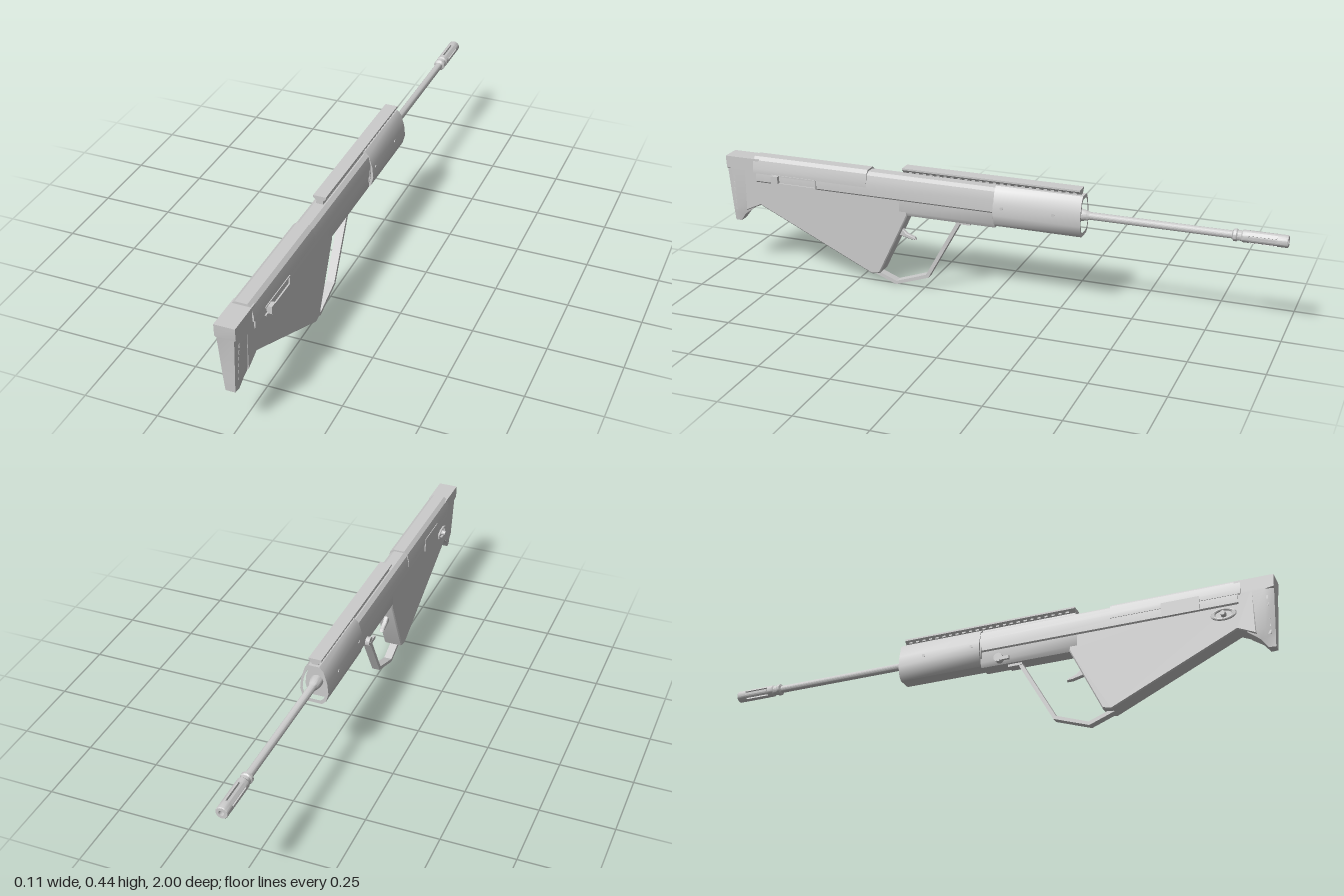
import * as THREE from 'three';
import { toCreasedNormals } from 'three/addons/utils/BufferGeometryUtils.js';

const CX = -0.004; // centre line of the body
const BORE = 0.35; // height of the barrel axis

export function createModel() {
  const model = new THREE.Group();
  const material = new THREE.MeshStandardMaterial({ color: 0xcccccc });

  const add = (name, geometry, x = CX, y = 0, z = 0) => {
    const mesh = new THREE.Mesh(toCreasedNormals(geometry, 0.6), material);
    mesh.name = name;
    mesh.position.set(x, y, z);
    model.add(mesh);
    return mesh;
  };
  const box = (name, w, h, d, x, y, z) => add(name, new THREE.BoxGeometry(w, h, d), x, y, z);
  const shapeOf = (pts) => new THREE.Shape(pts.map(([a, b]) => new THREE.Vector2(a, b)));
  // Mirror a half section of [x, y] points, top to bottom
  const mirror = (half) => [...half, ...half.map(([x, y]) => [-x, y]).reverse()];
  // Cross-section in x/y swept from z0 to z1
  const sweep = (shape, z0, z1) => {
    const g = new THREE.ExtrudeGeometry(shape, { depth: z1 - z0, bevelEnabled: false, curveSegments: 10 });
    return g.translate(0, 0, z0);
  };
  // Side profile of [z, y] points given a width across x
  const slab = (shape, width, bevel = 0) => {
    const g = new THREE.ExtrudeGeometry(shape, {
      depth: width - 2 * bevel, bevelEnabled: bevel > 0, bevelSize: bevel,
      bevelThickness: bevel, bevelOffset: -bevel, bevelSegments: 1,
    });
    return g.translate(0, 0, -width / 2 + bevel).rotateY(-Math.PI / 2);
  };
  // Turned part along z from [radius, z] points
  const turned = (pts) => new THREE.LatheGeometry(pts.map(([r, z]) => new THREE.Vector2(r, z)), 20).rotateX(Math.PI / 2);

  // Stock with the slanted grip edge
  add('stock', slab(shapeOf([
    [0.93, 0.38], [0.93, 0.213], [0.87, 0.24], [0.44, 0.038], [0.41, 0.045],
    [0.3, 0.275], [0.3, 0.38],
  ]), 0.068, 0.004));

  // Butt: horizontal sections [y, back z, front z, back half width, front half width]
  const rows = [
    [0.165, 0.985, 0.962, 0.016, 0.018], [0.195, 0.987, 0.94, 0.018, 0.024],
    [0.225, 0.989, 0.9, 0.02, 0.031], [0.365, 0.997, 0.87, 0.028, 0.034],
    [0.37, 0.998, 0.87, 0.034, 0.034], [0.412, 1, 0.87, 0.034, 0.034],
  ];
  const pos = [];
  const idx = [];
  rows.forEach(([y, zb, zf, wb, wf]) => {
    const zm = Math.max(zf, zb - 0.03);
    pos.push(-wb, y, zb, wb, y, zb, wf, y, zm, wf, y, zf, -wf, y, zf, -wf, y, zm);
  });
  for (let r = 0; r < rows.length - 1; r++) {
    for (let i = 0; i < 6; i++) {
      const a = r * 6 + i, b = r * 6 + (i + 1) % 6;
      idx.push(a, b, b + 6, a, b + 6, a + 6);
    }
  }
  const last = (rows.length - 1) * 6;
  for (let i = 1; i < 5; i++) idx.push(0, i + 1, i, last, last + i, last + i + 1);
  const butt = new THREE.BufferGeometry();
  butt.setAttribute('position', new THREE.Float32BufferAttribute(pos, 3));
  butt.setIndex(idx);
  butt.computeVertexNormals();
  add('butt', butt);
  for (let i = 0; i < 6; i++) {
    const y = 0.215 + i * 0.024;
    box('buttRib', 0.05 + i * 0.003, 0.012, 0.012, CX, y, 0.97);
  }
  add('buttStud', new THREE.CylinderGeometry(0.008, 0.008, 0.03, 12).rotateZ(Math.PI / 2), CX, 0.177, 0.966);

  // Receiver housing, lower frame and raised top cover
  add('receiver', sweep(shapeOf(mirror([
    [0.018, 0.414], [0.031, 0.404], [0.038, 0.375], [0.038, 0.333], [0.034, 0.328],
  ])), -0.02, 0.88));
  add('lowerFrame', sweep(shapeOf(mirror([[0.034, 0.34], [0.034, 0.288], [0.026, 0.273]])), -0.02, 0.33));
  add('topCover', sweep(shapeOf(mirror([
    [0.02, 0.42], [0.033, 0.409], [0.04, 0.378], [0.04, 0.362],
  ])), 0.45, 0.89));

  // Faceted handguard, open at the front
  const guardHalf = [[0.018, 0.421], [0.032, 0.408], [0.045, 0.365], [0.049, 0.325], [0.04, 0.293], [0.026, 0.28]];
  const guardShape = shapeOf(mirror(guardHalf));
  guardShape.holes.push(new THREE.Path(mirror(guardHalf).map(
    ([x, y]) => new THREE.Vector2(x * 0.82, BORE + (y - BORE) * 0.82))));
  add('handguard', sweep(guardShape, -0.325, -0.02));
  const plate = mirror(guardHalf.map(([x, y]) => [x * 0.84, BORE + (y - BORE) * 0.84]));
  add('handguardFill', sweep(shapeOf(plate), -0.3, -0.015));
  for (const s of [-1, 1]) {
    for (const z of [-0.05, -0.23]) {
      add('handguardPin', new THREE.CylinderGeometry(0.006, 0.006, 0.006, 12).rotateZ(Math.PI / 2), CX + s * 0.045, 0.352, z);
    }
  }

  // Sight rail: dovetail bar with teeth below its lips
  add('rail', sweep(shapeOf(mirror([
    [0.022, 0.442], [0.022, 0.436], [0.011, 0.424], [0.014, 0.41],
  ])), -0.315, 0.32));
  for (let i = 0; i < 24; i++) box('railTooth', 0.034, 0.008, 0.012, CX, 0.429, -0.295 + i * 0.0255);

  // Barrel with collar, and slotted muzzle
  add('barrel', turned([
    [0, -0.9], [0.013, -0.9], [0.013, -0.345], [0.017, -0.335], [0.021, -0.315], [0.021, -0.29], [0, -0.29],
  ]), CX, BORE);
  add('muzzleCollar', turned([
    [0.013, -0.875], [0.0205, -0.875], [0.0205, -0.855], [0.017, -0.85], [0.017, -0.838], [0.0205, -0.834], [0.0205, -0.825], [0.013, -0.82],
  ]), CX, BORE);
  add('muzzleCap', turned([
    [0, -0.985], [0.009, -0.985], [0.009, -1], [0.0185, -1], [0.0205, -0.997], [0.0205, -0.965], [0.013, -0.965], [0.013, -0.875],
  ]), CX, BORE);
  for (let i = 0; i < 5; i++) {
    const a = i * Math.PI * 0.4 - Math.PI / 2 - 0.5;
    const arc = new THREE.Shape();
    arc.absarc(0, 0, 0.0205, a, a + 1, false);
    arc.absarc(0, 0, 0.012, a + 1, a, true);
    add('muzzleBar', sweep(arc, -0.966, -0.874), CX, BORE);
  }

  // Bent trigger guard strap
  const outer = [[0.105, 0.277], [0.233, 0.046], [0.357, 0.003], [0.445, 0.037]];
  const inner = [[0.435, 0.047], [0.355, 0.016], [0.242, 0.056], [0.12, 0.277]];
  add('triggerGuard', slab(shapeOf([...outer, ...inner]), 0.028));
  box('guardMount', 0.034, 0.024, 0.05, CX, 0.276, 0.1);

  // Trigger
  add('trigger', slab(shapeOf([
    [0.35, 0.21], [0.335, 0.218], [0.315, 0.198], [0.285, 0.187], [0.28, 0.178], [0.3, 0.178], [0.35, 0.19],
  ]), 0.016, 0.003));

  // Charging handle and slot frame on the left side
  for (const y of [0.333, 0.362]) box('handleSlotRim', 0.008, 0.005, 0.17, 0.035, y, 0.73);
  box('handleSlotRim', 0.008, 0.032, 0.005, 0.035, 0.3475, 0.645);
  box('handleStem', 0.02, 0.018, 0.014, 0.04, 0.35, 0.797);
  box('chargingHandle', 0.014, 0.026, 0.026, 0.048, 0.352, 0.797);

  // Right side: port cover, sling loop and takedown knob
  box('portCover', 0.008, 0.05, 0.13, -0.042, 0.355, 0.69);
  const loop = add('slingLoop', new THREE.TorusGeometry(0.022, 0.005, 8, 20).rotateY(Math.PI / 2), -0.04, 0.3, 0.83);
  loop.scale.set(1, 0.8, 1.6);
  add('slingStud', new THREE.CylinderGeometry(0.008, 0.01, 0.018, 12).rotateZ(Math.PI / 2), -0.046, 0.3, 0.83);
  add('takedownKnob', new THREE.CylinderGeometry(0.016, 0.016, 0.02, 14).rotateZ(Math.PI / 2), -0.043, 0.292, 0.05);
  box('takedownLever', 0.01, 0.012, 0.05, -0.049, 0.286, 0.065);

  return model;
}
